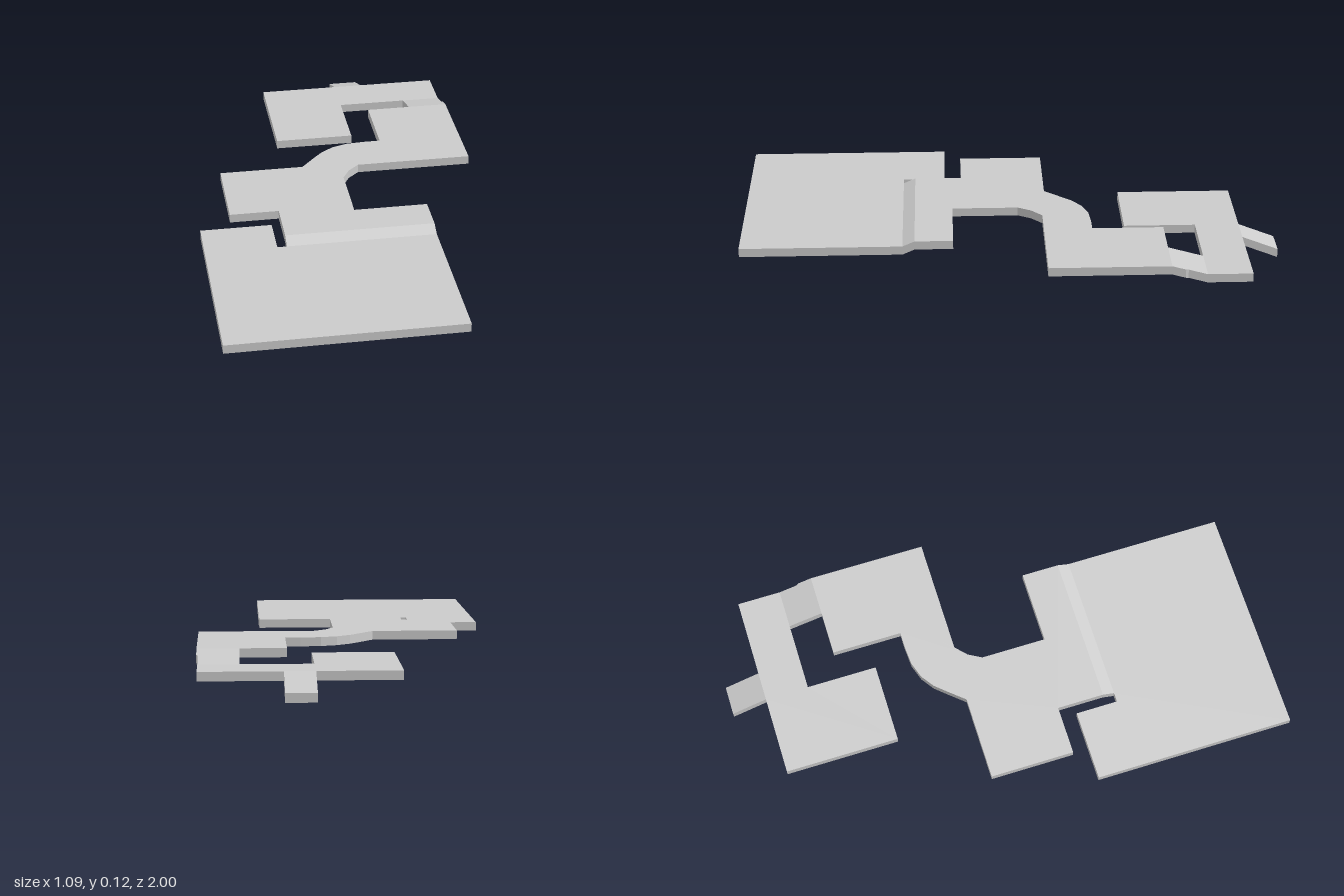
import * as THREE from 'three';

const THICK = 0.033;

// Each part: plan outline [x, z] counter-clockwise from above, and the
// underside heights y0 at z0 and y1 at z1 (sloping evenly between them).
const PARTS = [
  { name: 'frontPlate', slope: [1, 0.07, 0.4, 0.07],
    outline: [[-0.545, 1], [0.31, 1], [0.31, 0.4], [-0.245, 0.4], [-0.28, 0.4], [-0.28, 0.24], [-0.545, 0.24]] },
  { name: 'frontRamp', slope: [0.4, 0.07, 0.355, 0.09],
    outline: [[-0.245, 0.4], [0.31, 0.4], [0.31, 0.355], [-0.245, 0.355]] },
  { name: 'middlePlate', slope: [0.355, 0.09, -0.57, 0.09],
    outline: [[-0.245, 0.355], [0.31, 0.355], [0.31, 0.213], [0.034, 0.213], [0.034, -0.035],
      [0.062, -0.085], [0.105, -0.125], [0.542, -0.125], [0.542, -0.57], [0.39, -0.57],
      [0.222, -0.57], [0.222, -0.305], [0.165, -0.305], [0.09, -0.3], [0.03, -0.28],
      [-0.02, -0.245], [-0.06, -0.2], [-0.11, -0.142], [-0.428, -0.142], [-0.428, 0.177], [-0.245, 0.177]] },
  { name: 'rearRamp', slope: [-0.57, 0.09, -0.7, 0.053],
    outline: [[0.39, -0.57], [0.542, -0.57], [0.542, -0.62], [0.537, -0.63], [0.537, -0.7], [0.39, -0.7]] },
  { name: 'rearPlate', slope: [-0.7, 0.053, -0.865, 0.053],
    outline: [[0.13, -0.7], [0.39, -0.7], [0.537, -0.7], [0.537, -0.865], [0.24, -0.865],
      [0.13, -0.865], [-0.17, -0.865], [-0.17, -0.432], [0.13, -0.432]] },
  { name: 'rearTab', slope: [-0.865, 0.053, -1, 0],
    outline: [[0.13, -0.865], [0.24, -0.865], [0.24, -1], [0.13, -1]] },
];

const edgeKey = (a, b) => `${a}>${b}`;

// Top, underside and outer walls of one part; edges joined to a neighbour get no wall
function slabGeometry({ outline, slope: [z0, y0, z1, y1] }, allEdges) {
  const pos = [];
  const point = ([x, z], lift) => [x, y0 + (y1 - y0) * (z - z0) / (z1 - z0) + lift, z];
  const low = (p) => point(p, 0);
  const high = (p) => point(p, THICK);
  const tri = (...corners) => corners.forEach((c) => pos.push(...c));

  const plan = outline.map(([x, z]) => new THREE.Vector2(x, -z));
  for (const [i, j, k] of THREE.ShapeUtils.triangulateShape(plan, [])) {
    const [a, b, c] = [outline[i], outline[j], outline[k]];
    tri(high(a), high(b), high(c));
    tri(low(a), low(c), low(b));
  }
  outline.forEach((a, i) => {
    const b = outline[(i + 1) % outline.length];
    if (allEdges.has(edgeKey(b, a))) return;
    tri(low(a), low(b), high(b));
    tri(low(a), high(b), high(a));
  });

  const geometry = new THREE.BufferGeometry();
  geometry.setAttribute('position', new THREE.Float32BufferAttribute(pos, 3));
  geometry.computeVertexNormals();
  return geometry;
}

export function createModel() {
  const group = new THREE.Group();
  group.name = 'steppedWalkway';
  const material = new THREE.MeshStandardMaterial({ color: 0xcccccc, flatShading: true });

  const allEdges = new Set();
  for (const { outline } of PARTS) {
    outline.forEach((a, i) => allEdges.add(edgeKey(a, outline[(i + 1) % outline.length])));
  }
  for (const part of PARTS) {
    const mesh = new THREE.Mesh(slabGeometry(part, allEdges), material);
    mesh.name = part.name;
    group.add(mesh);
  }
  return group;
}
